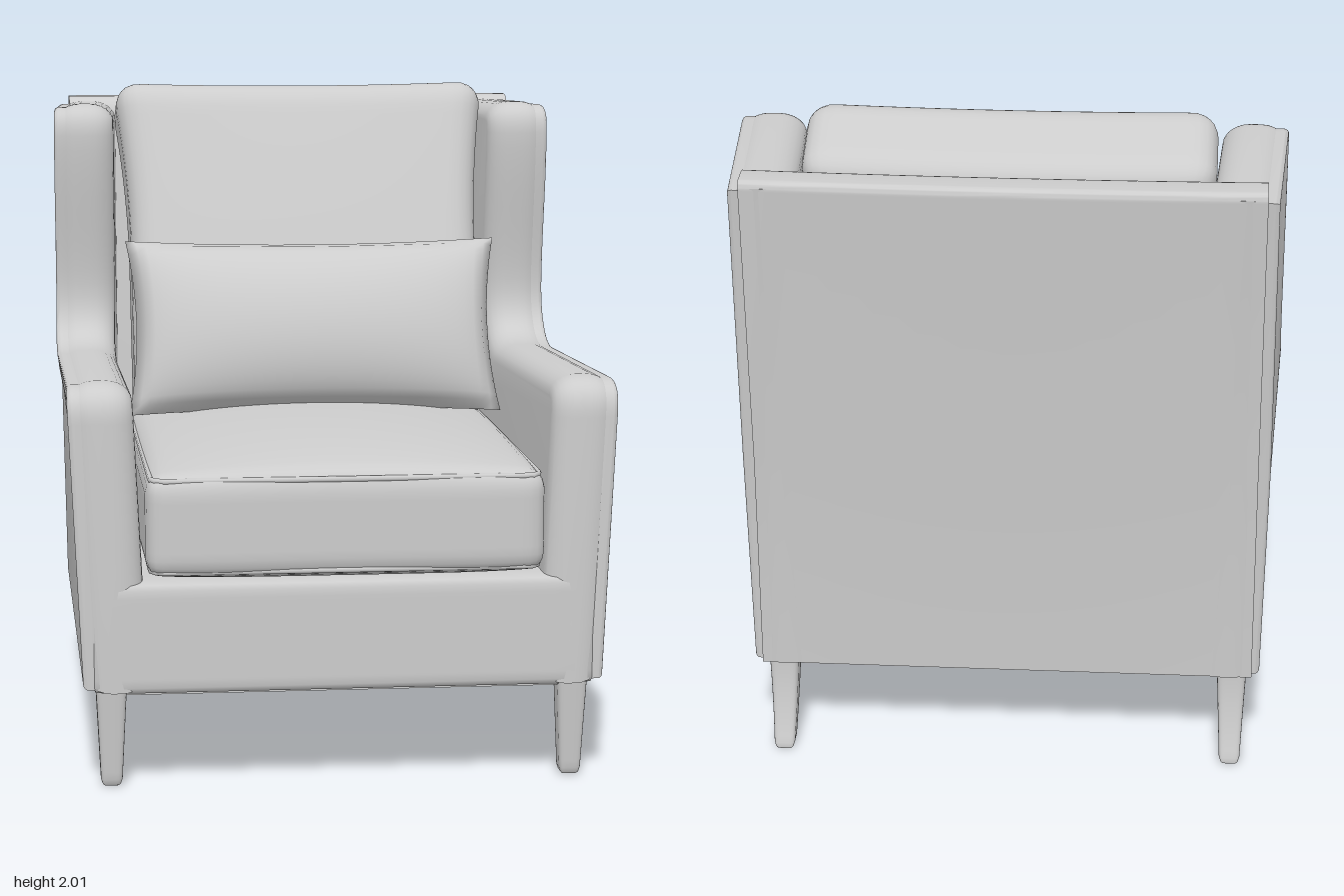
import * as THREE from 'three';
import { mergeVertices, toCreasedNormals } from 'three/addons/utils/BufferGeometryUtils.js';

const clamp = THREE.MathUtils.clamp;
const grey = new THREE.MeshStandardMaterial({ color: 0xcccccc });
grey.name = 'plain grey';

// Move every vertex by a rule
function bend(geo, rule) {
  const p = geo.attributes.position;
  const v = new THREE.Vector3();
  for (let i = 0; i < p.count; i++) {
    rule(v.fromBufferAttribute(p, i));
    p.setXYZ(i, v.x, v.y, v.z);
  }
  return geo;
}

// Weld and smooth a box-based form
function smooth(geo) {
  geo.deleteAttribute('uv');
  geo.deleteAttribute('normal');
  const g = mergeVertices(geo, 1e-5);
  g.computeVertexNormals();
  return g;
}

// Rounded, finely divided box; rule gets the vertex and its -1..1 coordinates
function soft(w, h, d, r, seg, rule) {
  const half = [w / 2, h / 2, d / 2];
  const geo = new THREE.BoxGeometry(w, h, d, ...seg);
  const core = new THREE.Vector3();
  bend(geo, v => {
    core.set(...v.toArray().map((c, i) => clamp(c, r - half[i], half[i] - r)));
    v.sub(core).setLength(r).add(core);
    if (rule) rule(v, v.x / half[0], v.y / half[1], v.z / half[2]);
  });
  return smooth(geo);
}

// Side-view shape (z, y) extruded across x and centred on x = 0
function acrossX(shape, width, bevel, size, offset, steps = 1) {
  const depth = width - 2 * bevel;
  const geo = new THREE.ExtrudeGeometry(shape, {
    depth, steps, curveSegments: 10, bevelEnabled: bevel > 0,
    bevelThickness: bevel, bevelSize: size, bevelOffset: offset, bevelSegments: 6,
  });
  return geo.translate(0, 0, -depth / 2).rotateY(-Math.PI / 2);
}

// Arm and wing outline
function sideShape() {
  const s = new THREE.Shape();
  s.moveTo(-0.85, 0.3);
  s.lineTo(0.92, 0.3);
  s.lineTo(0.92, 1.1);
  s.bezierCurveTo(0.92, 1.18, 0.88, 1.215, 0.8, 1.215);
  s.lineTo(-0.2, 1.17);
  s.bezierCurveTo(-0.36, 1.165, -0.43, 1.22, -0.425, 1.36);
  s.bezierCurveTo(-0.42, 1.5, -0.37, 1.7, -0.365, 1.85);
  s.quadraticCurveTo(-0.365, 1.95, -0.46, 1.95);
  s.lineTo(-0.97, 1.93);
  s.lineTo(-0.865, 1.0);
  return s;
}

// Outward lean of the sides, easing in toward the back
function lean(geo, side, x) {
  bend(geo, v => {
    const out = 0.04 * clamp((v.y - 0.3) / 0.85, 0, 1)
      - 0.03 * clamp((-v.z - 0.4) / 0.55, 0, 1) * clamp((v.y - 0.3) / 0.85, 0, 1);
    v.x += side * (x + out);
  });
  return toCreasedNormals(geo, 0.6);
}

// Closed piping cord around a rounded rectangle in plan
function piping(hw, z0, z1, r, y) {
  const s = new THREE.Shape();
  s.moveTo(-hw + r, z0);
  s.lineTo(hw - r, z0);
  s.quadraticCurveTo(hw, z0, hw, z0 + r);
  s.lineTo(hw, z1 - r);
  s.quadraticCurveTo(hw, z1, hw - r, z1);
  s.lineTo(-hw + r, z1);
  s.quadraticCurveTo(-hw, z1, -hw, z1 - r);
  s.lineTo(-hw, z0 + r);
  s.quadraticCurveTo(-hw, z0, -hw + r, z0);
  const pts = s.getSpacedPoints(140).slice(0, -1).map(p => new THREE.Vector3(p.x, y, p.y));
  return new THREE.TubeGeometry(new THREE.CatmullRomCurve3(pts, true), 180, 0.009, 8, true);
}

export function createModel() {
  const chair = new THREE.Group();
  chair.name = 'armchair';
  const add = (name, geo, x = 0, y = 0, z = 0, tilt = 0) => {
    const m = new THREE.Mesh(geo, grey);
    m.name = name;
    m.position.set(x, y, z);
    m.rotation.x = tilt;
    chair.add(m);
  };

  // Base with front rail
  add('baseFrame', soft(1.5, 0.34, 1.765, 0.03, [24, 14, 28]), 0, 0.46, 0.0375);
  add('undersidePanel', new THREE.BoxGeometry(1.42, 0.03, 1.66), 0, 0.297, 0.03);

  // Arms with wings, outer panels and legs
  for (const side of [1, -1]) {
    const tag = side > 0 ? 'left' : 'right';
    add(tag + 'ArmAndWing', lean(acrossX(sideShape(), 0.19, 0.08, 0.06, -0.06), side, 0.675));
    add(tag + 'OuterPanel', lean(acrossX(sideShape(), 0.06, 0.014, 0.014, -0.025), side, 0.743));

    const frontLeg = soft(0.095, 0.34, 0.105, 0.022, [10, 16, 10], (v, a, b) => {
      const t = (1 - b) / 2;
      v.x *= 1 - 0.35 * t;
      v.z = v.z * (1 - 0.3 * t) - 0.02 * t;
    });
    add(tag + 'FrontLeg', frontLeg, side * 0.69, 0.17, 0.83);

    const backLeg = soft(0.095, 0.34, 0.11, 0.022, [10, 16, 10], (v, a, b) => {
      const t = (1 - b) / 2;
      v.x *= 1 - 0.35 * t;
      v.z = v.z * (1 - 0.35 * t) - 0.075 * t * t;
    });
    add(tag + 'BackLeg', backLeg, side * 0.69, 0.17, -0.765);
  }

  // Backrest shell, slightly bowed to the rear
  const back = new THREE.Shape();
  back.moveTo(-0.845, 0.3);
  back.lineTo(-0.7, 0.3);
  back.lineTo(-0.72, 0.8);
  back.lineTo(-0.82, 1.87);
  back.quadraticCurveTo(-0.825, 1.945, -0.89, 1.95);
  back.lineTo(-0.945, 1.95);
  back.quadraticCurveTo(-0.97, 1.95, -0.967, 1.92);
  back.lineTo(-0.863, 1.0);
  const backGeo = bend(acrossX(back, 1.5, 0, 0, 0, 12), v => {
    v.z -= 0.013 * (1 - (v.x / 0.75) ** 2) * clamp(v.y - 0.3, 0, 1);
  });
  add('backrest', toCreasedNormals(backGeo, 0.6));

  // Seat cushion with crowned top and piping
  add('seatCushion', soft(1.18, 0.29, 1.5, 0.05, [48, 12, 56], (v, a, b, c) => {
    const puff = Math.max(0, (1 - a * a) * (1 - c * c)) ** 0.6;
    v.y += b > 0 ? 0.085 * puff * b : 0.04 * puff * b;
    v.z += c > 0 ? 0.01 * a * a * (1 - a * a) * 4 * c : 0;
  }), 0, 0.8, 0.22);
  for (const y of [0.667, 0.937]) add('seatPiping', piping(0.573, -0.51, 0.957, 0.05, y));

  // Leaning back cushion, narrower lower down
  add('backCushion', soft(1.22, 1.15, 0.33, 0.09, [36, 36, 14], (v, a, b, c) => {
    const puff = Math.max(0, (1 - a * a) * (1 - b * b));
    v.z += 0.02 * c * puff;
    v.x *= 0.93 + 0.085 * clamp(b, 0, 1) ** 2;
    v.y += 0.012 * a * a * Math.max(0, b);
  }), 0, 1.434, -0.41, -0.38);

  // Lumbar pillow with pinched edges and pointed corners
  const pillow = bend(new THREE.BoxGeometry(1.19, 0.57, 0.32, 40, 24, 2), v => {
    const a = v.x / 0.595, b = v.y / 0.285;
    const fx = Math.max(0, 1 - a * a), fy = Math.max(0, 1 - b * b);
    v.z *= fx ** 0.35 * fy ** 0.5;
    v.x *= 1 - 0.05 * fy;
    v.y *= 1 - 0.06 * fx;
  });
  add('lumbarPillow', smooth(pillow), 0, 1.26, -0.045, -0.35);

  return chair;
}
